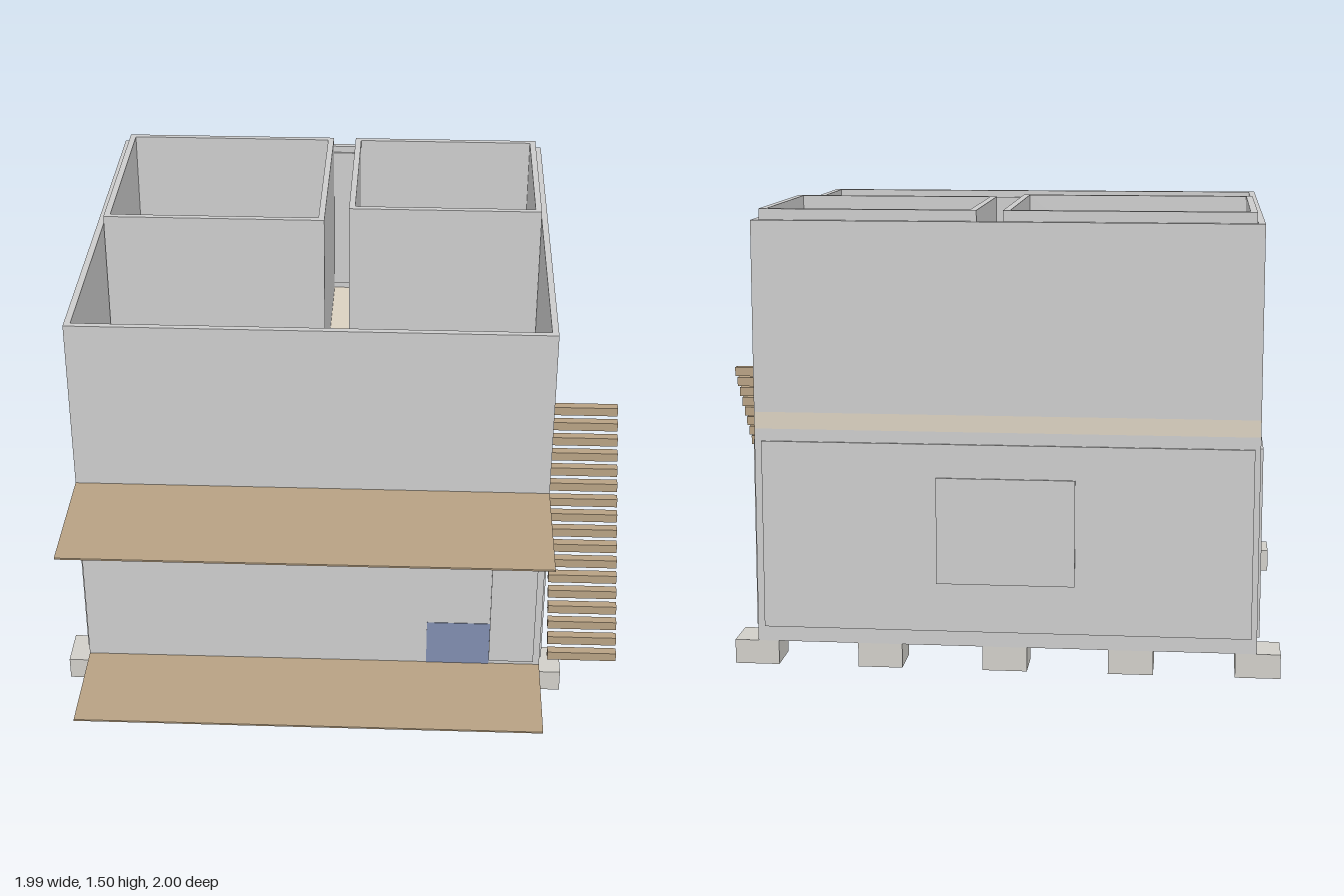
import * as THREE from 'three';

const mat = (color) => new THREE.MeshStandardMaterial({ color });

export function createModel() {
  const model = new THREE.Group();
  const wall = mat(0xcccccc);
  const slab = mat(0xdad0c0);
  const wood = mat(0xb7a183);
  const glass = mat(0x7f8cae);
  const stone = mat(0xd0cec8);

  // Box given by its extents on each axis
  function box(name, [x0, x1], [y0, y1], [z0, z1], material, parent = model) {
    const mesh = new THREE.Mesh(new THREE.BoxGeometry(x1 - x0, y1 - y0, z1 - z0), material);
    mesh.position.set((x0 + x1) / 2, (y0 + y1) / 2, (z0 + z1) / 2);
    mesh.name = name;
    parent.add(mesh);
  }

  // Four walls around a rectangle, open above and below
  function ring(name, [x0, x1], [y0, y1], [z0, z1], t) {
    // Counter-clockwise corners, so that inner faces point into the room
    const rect = (Type, d) => new Type([
      new THREE.Vector2(x0 + d, -z1 + d), new THREE.Vector2(x1 - d, -z1 + d),
      new THREE.Vector2(x1 - d, -z0 - d), new THREE.Vector2(x0 + d, -z0 - d),
    ]);
    const shape = rect(THREE.Shape, 0);
    shape.holes.push(rect(THREE.Path, t));
    const geo = new THREE.ExtrudeGeometry(shape, { depth: y1 - y0, bevelEnabled: false });
    geo.rotateX(-Math.PI / 2);
    const mesh = new THREE.Mesh(geo, wall);
    mesh.position.y = y0;
    mesh.name = name;
    model.add(mesh);
  }

  const X = [-0.918, 0.713];
  const Z = [-0.987, 0.548];

  // Foundation blocks along the front and back edges
  const foundation = new THREE.Group();
  foundation.name = 'foundation';
  for (let i = 0; i < 5; i++) {
    const x = -0.922 + i * 0.41;
    for (const z of [[0.402, 0.548], [-0.987, -0.841]]) {
      box('foundationBlock', [x - 0.073, x + 0.073], [0, 0.08], z, stone, foundation);
    }
  }
  model.add(foundation);

  // Floors and storey walls
  box('groundFloor', [-0.896, 0.691], [0.08, 0.11], [-0.965, 0.526], slab);
  ring('groundWalls', X, [0.08, 0.79], Z, 0.022);
  box('upperFloor', X, [0.79, 0.845], Z, slab);
  ring('upperWalls', X, [0.845, 1.465], Z, 0.022);

  // Cladding panels on the lower storey
  const py = [0.13, 0.75];
  box('leftCladding', [0.71, 0.72], py, [-0.967, 0.522], wall);
  box('rightCladding', [-0.926, -0.916], py, [-0.967, 0.522], wall);
  box('frontCladding', [0.53, 0.69], py, [0.545, 0.556], wall);
  box('backCladding', [-0.9, 0.69], py, [-0.994, -0.984], wall);
  box('backWindow', [-0.33, 0.12], [0.29, 0.64], [-1, -0.98], wall);
  box('frontHatch', [0.305, 0.53], [0.112, 0.29], [0.545, 0.55], glass);

  // Rooms standing above the outer walls
  ring('largeRoom', [-0.893, -0.095], [0.845, 1.5], [-0.966, -0.217], 0.022);
  ring('smallRoom', [-0.01, 0.69], [0.845, 1.5], [-0.966, -0.32], 0.022);
  box('frontLining', [-0.89, 0.69], [1.08, 1.44], [0.51, 0.53], wall);
  box('backLining', [-0.095, -0.01], [0.87, 1.44], [-0.97, -0.957], wall);

  // Porch decks
  box('lowerDeck', X, [0.107, 0.113], [0.548, 0.925], wood);
  box('upperDeck', X, [0.845, 0.851], [0.548, 1], wood);

  // Open stair beside the left wall
  const stairs = new THREE.Group();
  stairs.name = 'stairs';
  for (let i = 0; i < 17; i++) {
    const y = 0.135 + i * 0.0434;
    const z = 0.508 - i * 0.0352;
    box('stairTread', [0.743, 0.99], [y - 0.0165, y + 0.0165], [z - 0.0165, z + 0.0165], wood, stairs);
  }
  model.add(stairs);

  return model;
}
